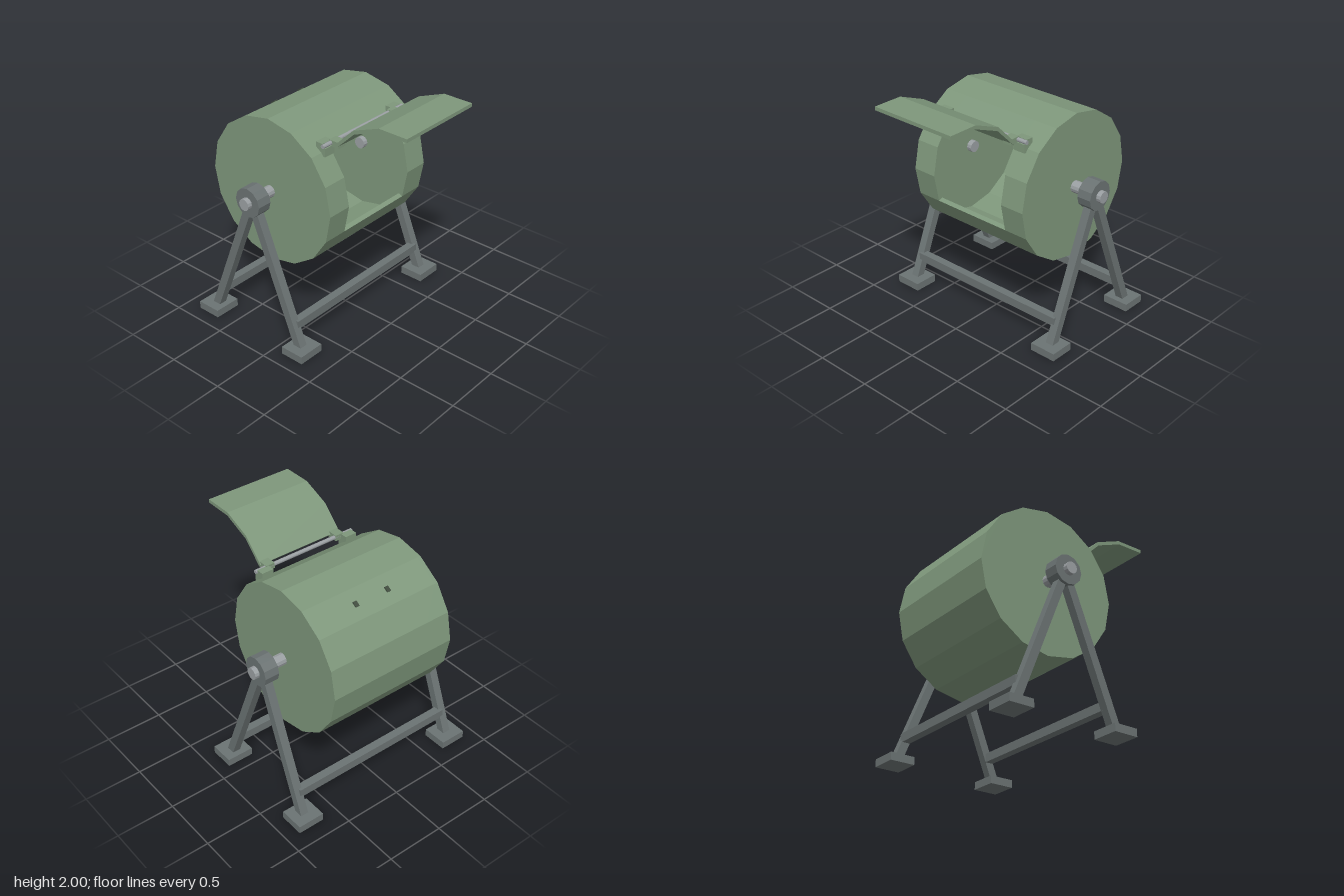
import * as THREE from 'three';

const mat = (color) => {
  const m = new THREE.MeshStandardMaterial({ color });
  m.flatShading = true;
  return m;
};
const green = mat(0x7e977b), darkGreen = mat(0x3e4a3c), steel = mat(0x6b7373), bright = mat(0x9a9fa2);

const CY = 1.225, CZ = -0.277; // drum axis
const R = 0.625, RI = 0.585, SIDES = 16;

export function createModel() {
  const model = new THREE.Group();

  const add = (name, geo, material, x = 0, y = 0, z = 0) => {
    const mesh = new THREE.Mesh(geo, material);
    mesh.name = name;
    mesh.position.set(x, y, z);
    model.add(mesh);
    return mesh;
  };
  const box = (name, m, w, h, d, x, y, z) => add(name, new THREE.BoxGeometry(w, h, d), m, x, y, z);
  const rod = (name, m, r, len, sides, x, y, z) =>
    add(name, new THREE.CylinderGeometry(r, r, len, sides).rotateZ(Math.PI / 2), m, x, y, z);

  // Side profile (z, y) extruded along x and centred on x = 0
  const extrudeX = (points, width, hole) => {
    const shape = new THREE.Shape(points);
    if (hole) shape.holes.push(new THREE.Path(hole));
    const geo = new THREE.ExtrudeGeometry(shape, { depth: width, bevelEnabled: false });
    return geo.translate(0, 0, -width / 2).rotateY(-Math.PI / 2);
  };
  const arc = (r, from, to) => {
    const pts = [];
    for (let i = from; i <= to; i++) {
      const a = (i / SIDES) * Math.PI * 2;
      pts.push(new THREE.Vector2(r * Math.cos(a), r * Math.sin(a)));
    }
    return pts;
  };

  // Drum: open middle shell (three facets missing), closed rings and end discs
  const shell = [...arc(R, 2, 15), ...arc(RI, 2, 15).reverse()];
  add('drumShell', extrudeX(shell, 0.72), green, 0, CY, CZ);
  for (const s of [-1, 1]) {
    add('drumRing', extrudeX(arc(R, 0, 15), 0.185, arc(RI, 0, 15)), green, s * 0.4525, CY, CZ);
    add('drumEnd', extrudeX(arc(R, 0, 15), 0.03), green, s * 0.56, CY, CZ);
  }

  // Latch catches on the upper back facet
  for (const s of [-1, 1]) {
    const a = Math.PI * 0.6875;
    const r = R * Math.cos(Math.PI / SIDES) - 0.005;
    const c = box('latchCatch', darkGreen, 0.034, 0.03, 0.045, s * 0.153,
      CY + r * Math.sin(a), CZ + r * Math.cos(a));
    c.rotation.x = Math.PI / 2 - a;
  }

  // Raised lid made of three flat panels
  const lid = [
    [0.235, 1.73], [0.253, 1.712], [0.42, 1.877], [0.655, 1.97], [0.905, 1.97],
    [0.905, 2.0], [0.65, 2.0], [0.41, 1.905],
  ].map(([z, y]) => new THREE.Vector2(z, y));
  add('lid', extrudeX(lid, 0.78), green);

  // Hinge: pin, notched drum brackets and lid lugs
  rod('hingePin', bright, 0.017, 0.95, 12, 0, 1.728, 0.185);
  for (const s of [-1, 1]) {
    box('hingeBracketBase', green, 0.105, 0.07, 0.09, s * 0.41, 1.675, 0.155);
    box('hingeBracketTop', green, 0.105, 0.036, 0.065, s * 0.41, 1.727, 0.1425);
    box('hingeLug', green, 0.08, 0.05, 0.095, s * 0.342, 1.725, 0.216);
  }

  // Stand: axles, bearings, splayed legs and feet on each side
  for (const s of [-1, 1]) {
    rod('axle', bright, 0.05, 0.367, 12, s * 0.6835, CY, CZ);
    rod('bearing', steel, 0.125, 0.125, 12, s * 0.765, CY, CZ);
    for (const f of [-1, 1]) {
      const dz = f * 0.468, dy = -1.175;
      const leg = box('leg', steel, 0.07, Math.hypot(dz, dy), 0.07, s * 0.766, CY + dy / 2, CZ + dz / 2);
      leg.rotation.x = Math.atan2(dz, dy) + Math.PI;
      box('foot', steel, 0.233, 0.066, 0.213, s * 0.765, 0.033, CZ + f * 0.477);
    }
  }

  // Crossbars joining the two sides
  for (const f of [-1, 1]) box('crossbar', steel, 1.52, 0.074, 0.07, 0, 0.238, CZ + f * 0.405);

  return model;
}
